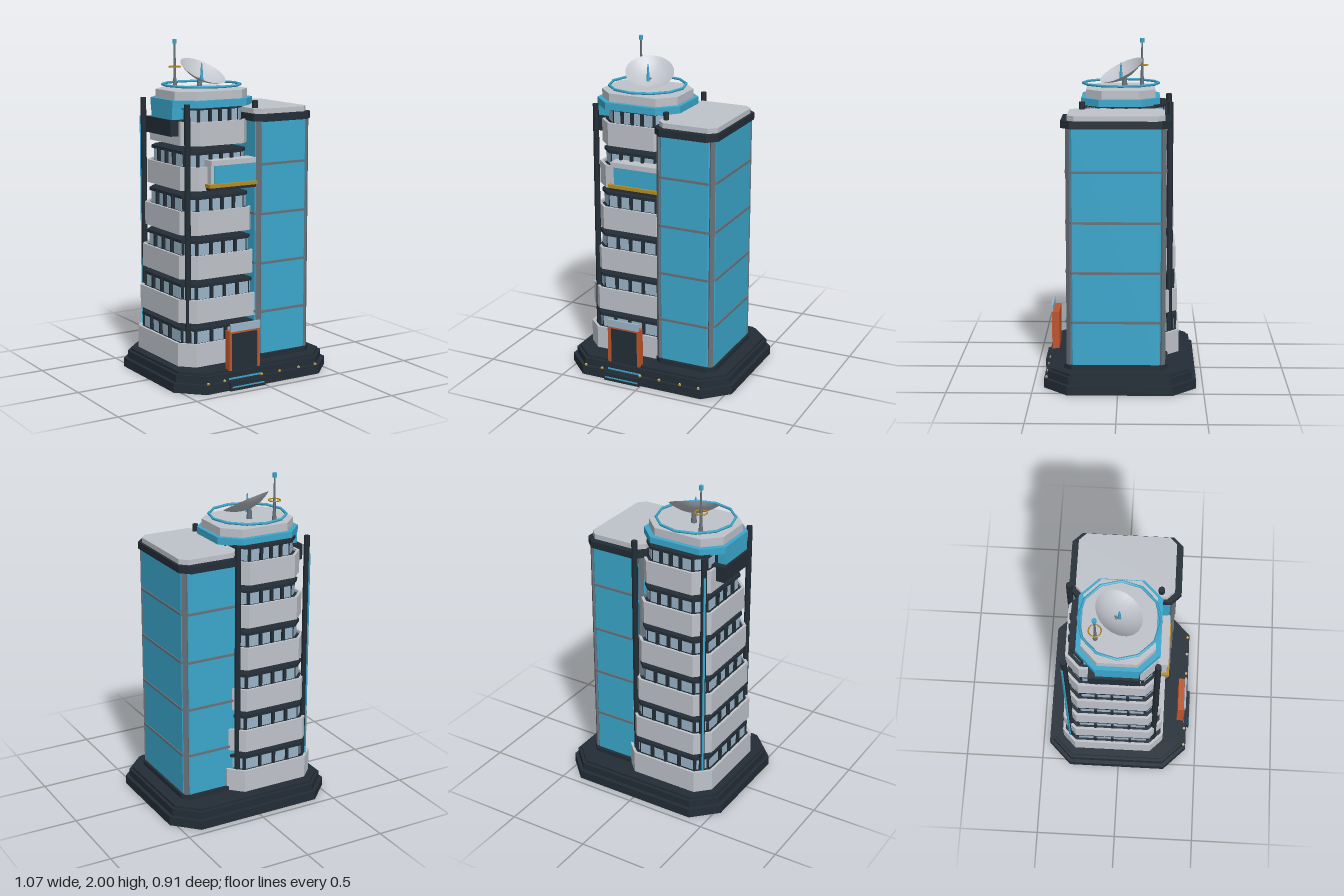
import * as THREE from 'three';

const mat = (name, color, side = THREE.FrontSide) => {
  const m = new THREE.MeshStandardMaterial({ color, side });
  m.name = name;
  return m;
};

export function createModel() {
  const model = new THREE.Group();
  model.name = 'officeTower';
  const dark = mat('darkSlate', 0x232d37);
  const white = mat('paleConcrete', 0xbfc3ca, THREE.DoubleSide);
  const blue = mat('blueGlass', 0x3ba8cd);
  const pane = mat('paleGlass', 0x9bb5c9);
  const steel = mat('steel', 0x68727c);
  const orange = mat('orangeFrame', 0xbf552c);
  const yellow = mat('yellowTrim', 0xb88d1e);

  const add = (name, geo, material, x = 0, y = 0, z = 0, parent = model) => {
    const m = new THREE.Mesh(geo, material);
    m.name = name;
    m.position.set(x, y, z);
    parent.add(m);
    return m;
  };
  // box given by its extents
  const box = (name, material, x0, x1, y0, y1, z0, z1, parent = model) =>
    add(name, new THREE.BoxGeometry(x1 - x0, y1 - y0, z1 - z0), material,
      (x0 + x1) / 2, (y0 + y1) / 2, (z0 + z1) / 2, parent);
  const rod = (name, material, x, y0, y1, z, r0, r1 = r0, n = 10) =>
    add(name, new THREE.CylinderGeometry(r1, r0, y1 - y0, n), material, x, (y0 + y1) / 2, z);

  // rectangle with cut corners, extruded upward; wall > 0 leaves it hollow
  const outline = (hx, hz, c) => [
    [hx, -hz + c], [hx, hz - c], [hx - c, hz], [-hx + c, hz],
    [-hx, hz - c], [-hx, -hz + c], [-hx + c, -hz], [hx - c, -hz],
  ].map(([x, y]) => new THREE.Vector2(x, y));
  const prism = (hx, hz, c, h, wall = 0) => {
    const s = new THREE.Shape(outline(hx, hz, c));
    if (wall) s.holes.push(new THREE.Path(outline(hx - wall, hz - wall, c - wall * 0.59)));
    return new THREE.ExtrudeGeometry(s, { depth: h, bevelEnabled: false }).rotateX(-Math.PI / 2);
  };

  // stepped plinth
  [[0, 0.055, 0], [0.055, 0.1, 0.022], [0.1, 0.115, 0.04]].forEach(([y0, y1, inset], i) =>
    add(`plinthTier${i + 1}`, prism(0.534 - inset, 0.446 - inset, 0.14 - inset * 0.59, y1 - y0), dark, 0, y0, -0.0115));
  for (const x of [-0.377, -0.266, -0.01, 0.117, 0.254, 0.374]) {
    rod('plinthLampRing', yellow, x, 0.055, 0.063, 0.422, 0.009);
    rod('plinthLamp', white, x, 0.063, 0.066, 0.422, 0.006);
  }
  box('entranceStep', dark, -0.24, -0.003, 0, 0.05, 0.4, 0.451);
  box('stepStrip', blue, -0.23, -0.01, 0.018, 0.026, 0.448, 0.454);
  box('stepStrip', blue, -0.23, -0.01, 0.058, 0.068, 0.408, 0.416);

  // entrance portal
  for (const x of [-0.228, -0.034]) box('portalPost', orange, x, x + 0.018, 0.11, 0.345, 0.37, 0.413);
  box('portalLintel', orange, -0.228, -0.016, 0.33, 0.345, 0.37, 0.413);
  box('portalBack', orange, -0.228, -0.016, 0.11, 0.345, 0.368, 0.376);
  box('door', dark, -0.208, -0.036, 0.115, 0.328, 0.376, 0.408);
  box('canopyGlass', pane, -0.222, -0.022, 0.342, 0.388, 0.406, 0.418);

  // terraced tower: each floor is slightly smaller than the one below
  const cx = -0.16, cz = -0.042;
  for (let f = 0; f < 6; f++) {
    const floor = new THREE.Group();
    floor.name = `floor${f + 1}`;
    floor.position.set(cx, 0.12 + f * 0.257, cz);
    model.add(floor);
    const hx = 0.29 - f * 0.012, hz = 0.322 - f * 0.012, bx = hx - 0.035, bz = hz - 0.035;
    add('parapet', prism(hx, hz, 0.08, 0.138, 0.016), white, 0, 0, 0, floor);
    add('terraceSlab', prism(hx - 0.015, hz - 0.015, 0.071, 0.118), dark, 0, 0.004, 0, floor);
    add('windowBand', prism(bx, bz, 0.065, 0.208), dark, 0, 0.004, 0, floor);
    add('floorCap', prism(bx + 0.012, bz + 0.012, 0.07, 0.018), dark, 0, 0.207, 0, floor);
    // four panes and three mullions on every main side
    for (let s = 0; s < 4; s++) {
      const side = new THREE.Group();
      side.name = 'windowSide';
      side.rotation.y = s * Math.PI / 2;
      floor.add(side);
      const half = (s % 2 ? bz : bx) - 0.065, d = s % 2 ? bx : bz, w = half / 2;
      for (let i = 0; i < 4; i++) {
        const x = -half + i * w;
        box('windowPane', pane, x + 0.006, x + w - 0.006, 0.135, 0.203, d - 0.002, d + 0.004, side);
        if (i) box('mullion', dark, x - 0.008, x + 0.008, 0.118, 0.215, d, d + 0.022, side);
      }
    }
    // one pane on every cut corner
    for (const sx of [-1, 1]) for (const sz of [-1, 1]) {
      const p = add('cornerPane', new THREE.BoxGeometry(0.062, 0.068, 0.006), pane,
        sx * (bx - 0.0325), 0.169, sz * (bz - 0.0325), floor);
      p.rotation.y = Math.atan2(sx, sz);
    }
  }

  // corner columns
  for (const x of [-0.389, 0.069]) for (const z of [-0.303, 0.217])
    rod('cornerColumn', dark, x, 0.1, 1.65, z, 0.018, 0.018, 8);
  const strip = add('columnStrip', new THREE.BoxGeometry(0.012, 1.42, 0.008), blue, -0.402, 0.83, -0.316);
  strip.rotation.y = Math.PI / 4;

  // projecting bay on the fifth floor
  box('bayBody', white, -0.265, 0.045, 1.19, 1.295, 0.19, 0.27);
  box('bayGlass', blue, -0.245, 0.045, 1.19, 1.295, 0.268, 0.276);
  box('bayRoof', white, -0.265, 0.045, 1.295, 1.325, 0.19, 0.278);
  box('bayFloor', dark, -0.275, 0.045, 1.152, 1.168, 0.19, 0.28);
  box('bayTrim', yellow, -0.28, 0.045, 1.168, 1.188, 0.19, 0.286);

  // glass annex with steel grid
  const ax = 0.222, az = 0.012;
  add('annexFoot', prism(0.198, 0.305, 0.045, 0.03), dark, ax, 0.113, az);
  add('annexGlass', prism(0.183, 0.287, 0.035, 1.4), blue, ax, 0.14, az);
  for (let i = 0; i < 4; i++)
    add('annexRail', prism(0.19, 0.294, 0.038, 0.014), steel, ax, 0.393 + i * 0.295, az);
  for (const sx of [-1, 1]) for (const sz of [-1, 1]) {
    const post = add('annexPost', new THREE.BoxGeometry(0.03, 1.4, 0.018), steel,
      ax + sx * 0.168, 0.84, az + sz * 0.272);
    post.rotation.y = Math.atan2(sx, sz);
  }
  add('annexCornice', prism(0.2, 0.318, 0.055, 0.042), dark, ax, 1.535, az);
  add('annexRoof', prism(0.184, 0.28, 0.042, 0.031), white, ax + 0.001, 1.576, az);

  // crown and side pod
  const rz = -0.008;
  add('crownBand', prism(0.27, 0.235, 0.107, 0.042), blue, cx, 1.624, rz);
  add('crownRoof', prism(0.246, 0.206, 0.095, 0.05), white, cx, 1.665, rz);
  box('podGlass', blue, -0.43, -0.34, 1.553, 1.63, -0.13, 0.115);
  box('podBase', dark, -0.444, -0.34, 1.46, 1.554, -0.17, 0.12);
  const ring = add('roofRing', new THREE.TorusGeometry(0.229, 0.008, 6, 12), blue, cx, 1.74, rz);
  ring.rotation.x = Math.PI / 2;

  // dish with its feed, tilted toward the front and slightly to its left
  const bowl = [];
  for (let i = 0; i <= 8; i++) bowl.push(new THREE.Vector2(0.145 * i / 8 + 1e-4, 0.05 * (i / 8) ** 2 - 0.05));
  const dish = add('dish', new THREE.LatheGeometry(bowl, 20), white, -0.148, 1.817, -0.01);
  dish.quaternion.setFromUnitVectors(new THREE.Vector3(0, 1, 0), new THREE.Vector3(0.2, 0.87, 0.44).normalize());
  rod('dishPedestal', steel, -0.16, 1.71, 1.775, -0.03, 0.018, 0.013);
  rod('dishFeed', blue, -0.158, 1.75, 1.83, -0.008, 0.011, 0.006);
  rod('dishFeedTip', blue, -0.158, 1.83, 1.862, -0.008, 0.006, 0.003);

  // antenna mast
  rod('mastFoot', steel, -0.267, 1.71, 1.77, -0.135, 0.014, 0.01);
  rod('mast', steel, -0.267, 1.76, 1.976, -0.135, 0.009, 0.005);
  rod('mastBeacon', blue, -0.267, 1.974, 2, -0.135, 0.013);
  const hoop = add('mastHoop', new THREE.TorusGeometry(0.035, 0.004, 6, 20), yellow, -0.267, 1.838, -0.135);
  hoop.rotation.x = Math.PI / 2;

  return model;
}
